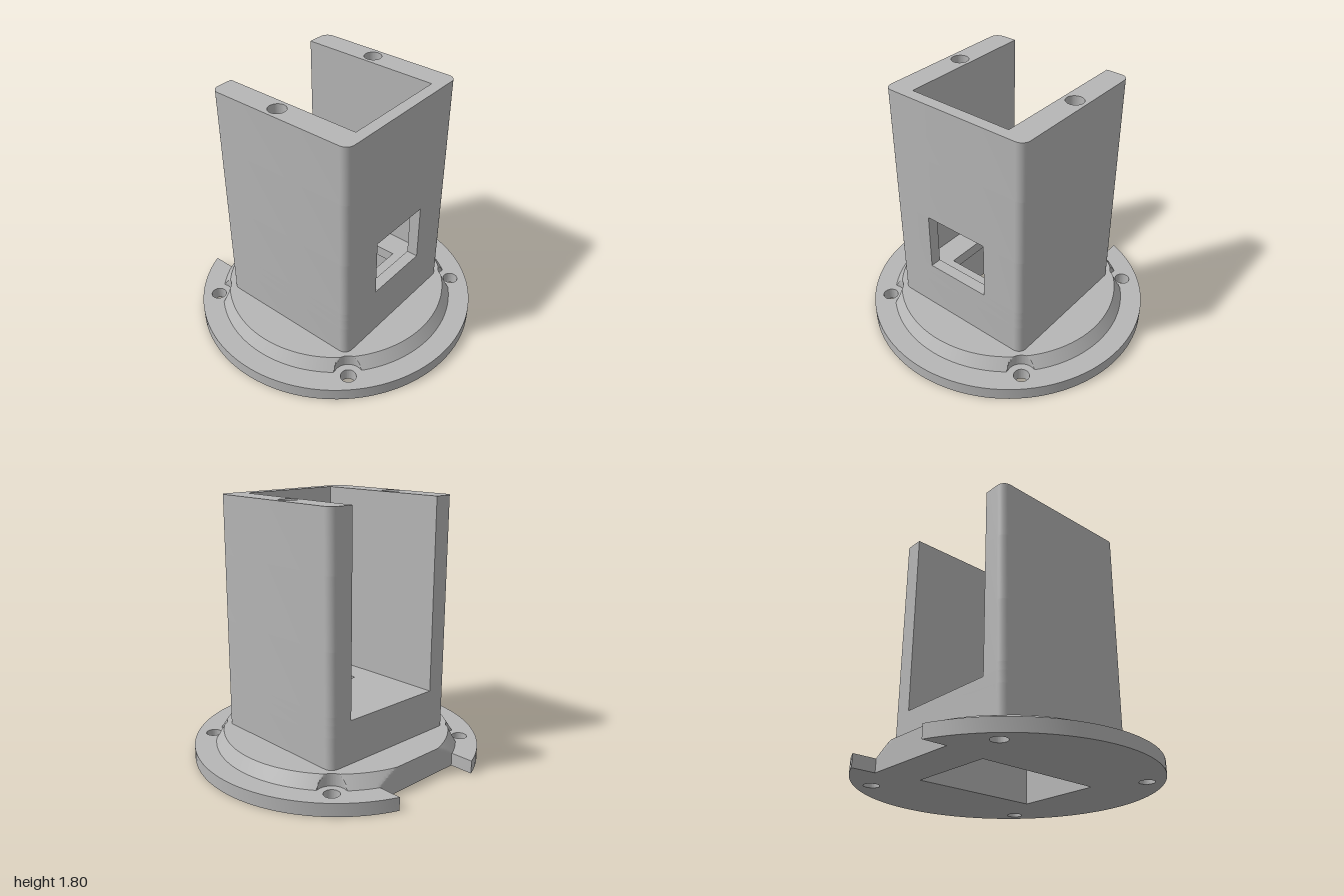
import * as THREE from 'three';
import { toCreasedNormals } from 'three/addons/utils/BufferGeometryUtils.js';

const CZ = -0.035;      // z of the base disc centre
const BOLT = 0.625;     // bolt hole offset from the disc centre
const BACK = -0.805;    // depth of the rear notch

export function createModel() {
  const model = new THREE.Group();
  const grey = new THREE.MeshStandardMaterial({ color: 0xb6b6b6 });
  grey.name = 'matte grey';

  const add = (name, geometry) => {
    const mesh = new THREE.Mesh(toCreasedNormals(geometry, 0.5), grey);
    mesh.name = name;
    model.add(mesh);
  };
  // Extrude a plan outline (x, z) between two heights
  const slab = (name, shape, y0, y1) => {
    const g = new THREE.ExtrudeGeometry(shape, { depth: y1 - y0, bevelEnabled: false, curveSegments: 48 });
    g.rotateX(Math.PI / 2).translate(0, y1, 0);
    add(name, g);
  };
  const rect = (x, z0, z1) => new THREE.Path([[-x, z0], [x, z0], [x, z1], [-x, z1]].map(p => new THREE.Vector2(...p)));
  const circle = (x, z, r) => new THREE.Path().absarc(x, z, r, 0, Math.PI * 2, false);
  const corner = (x, z, r, a0) => Array.from({ length: 9 }, (_, i) => {
    const a = a0 + (i / 8) * Math.PI / 2;
    return [x + r * Math.cos(a), z + r * Math.sin(a)];
  });
  const shapeOf = pts => new THREE.Shape(pts.map(p => new THREE.Vector2(p[0], p[1])));
  const pocket = () => rect(0.305, -0.505, 0.415);

  // Flange: notched disc with four bolt holes and the underside pocket
  const flange = new THREE.Shape();
  const a = Math.acos(0.355);
  flange.absarc(0, CZ, 1, -a, Math.PI + a, false);
  flange.lineTo(-0.355, BACK);
  flange.lineTo(0.355, BACK);
  flange.closePath();
  for (const sx of [-1, 1]) for (const sz of [-1, 1]) {
    flange.holes.push(circle(sx * BOLT, CZ + sz * BOLT, 0.053));
  }
  flange.holes.push(pocket());
  slab('flange', flange, 0, 0.09);

  // Conical step, scalloped around the bolts and cut flat at the notch
  const N = 720, L = 6, D = BOLT * Math.SQRT2, SCALLOP = 0.1;
  const ring = t => Array.from({ length: N }, (_, i) => {
    const th = (i / N) * Math.PI * 2;
    let r = 0.85 - 0.055 * t;
    if (Math.sin(th) < 0) r = Math.min(r, (CZ - BACK) / -Math.sin(th));
    const d = (th % (Math.PI / 2)) - Math.PI / 4;
    const side = D * Math.sin(d);
    if (Math.abs(side) < SCALLOP) r = Math.min(r, D * Math.cos(d) - Math.sqrt(SCALLOP ** 2 - side ** 2));
    return [r * Math.cos(th), CZ + r * Math.sin(th)];
  });
  const pos = [], idx = [];
  for (let j = 0; j <= L; j++) {
    for (const [x, z] of ring(j / L)) pos.push(x, 0.09 + 0.085 * j / L, z);
  }
  for (let j = 0; j < L; j++) for (let i = 0; i < N; i++) {
    const k = (i + 1) % N, lo = j * N, hi = lo + N;
    idx.push(lo + i, hi + i, hi + k, lo + i, hi + k, lo + k);
  }
  const cone = new THREE.BufferGeometry();
  cone.setAttribute('position', new THREE.Float32BufferAttribute(pos, 3));
  cone.setIndex(idx);
  add('stepSlope', cone);
  const cap = shapeOf(ring(1));
  cap.holes.push(pocket());
  slab('stepTop', cap, 0.165, 0.175);

  // Tower foot around the pocket, then the floor with its opening
  const R = 0.06, X = 0.55, ZF = 0.51, ZB = -0.575;
  const block = () => shapeOf([
    ...corner(X - R, ZF - R, R, 0), ...corner(-X + R, ZF - R, R, Math.PI / 2),
    ...corner(-X + R, ZB + R, R, Math.PI), ...corner(X - R, ZB + R, R, Math.PI * 1.5),
  ]);
  const foot = block();
  foot.holes.push(pocket());
  slab('towerFoot', foot, 0.09, 0.39);
  const floor = block();
  floor.holes.push(rect(0.205, -0.02, 0.33));
  slab('towerFloor', floor, 0.39, 0.47);

  // U-shaped walls in mirrored halves: sill, window band, upper wall, rim with pin holes
  const bands = [
    ['wallSill', 0.47, 0.525, 0, false],
    ['wallBesideWindow', 0.525, 0.94, 0.24, false],
    ['upperWall', 0.94, 1.4, 0, false],
    ['wallRim', 1.4, 1.8, 0, true],
  ];
  for (const [name, y0, y1, x0, pins] of bands) for (const s of [1, -1]) {
    const half = [
      [x0, 0.43], [0.38, 0.43], [0.38, ZB],
      ...corner(X - R, ZB + R, R, Math.PI * 1.5), ...corner(X - R, ZF - R, R, 0), [x0, ZF],
    ];
    const wall = shapeOf(half.map(([x, z]) => [s * x, z]));
    if (pins) wall.holes.push(circle(s * 0.465, -0.095, 0.06));
    slab((s > 0 ? 'left ' : 'right ') + name, wall, y0, y1);
  }
  return model;
}
